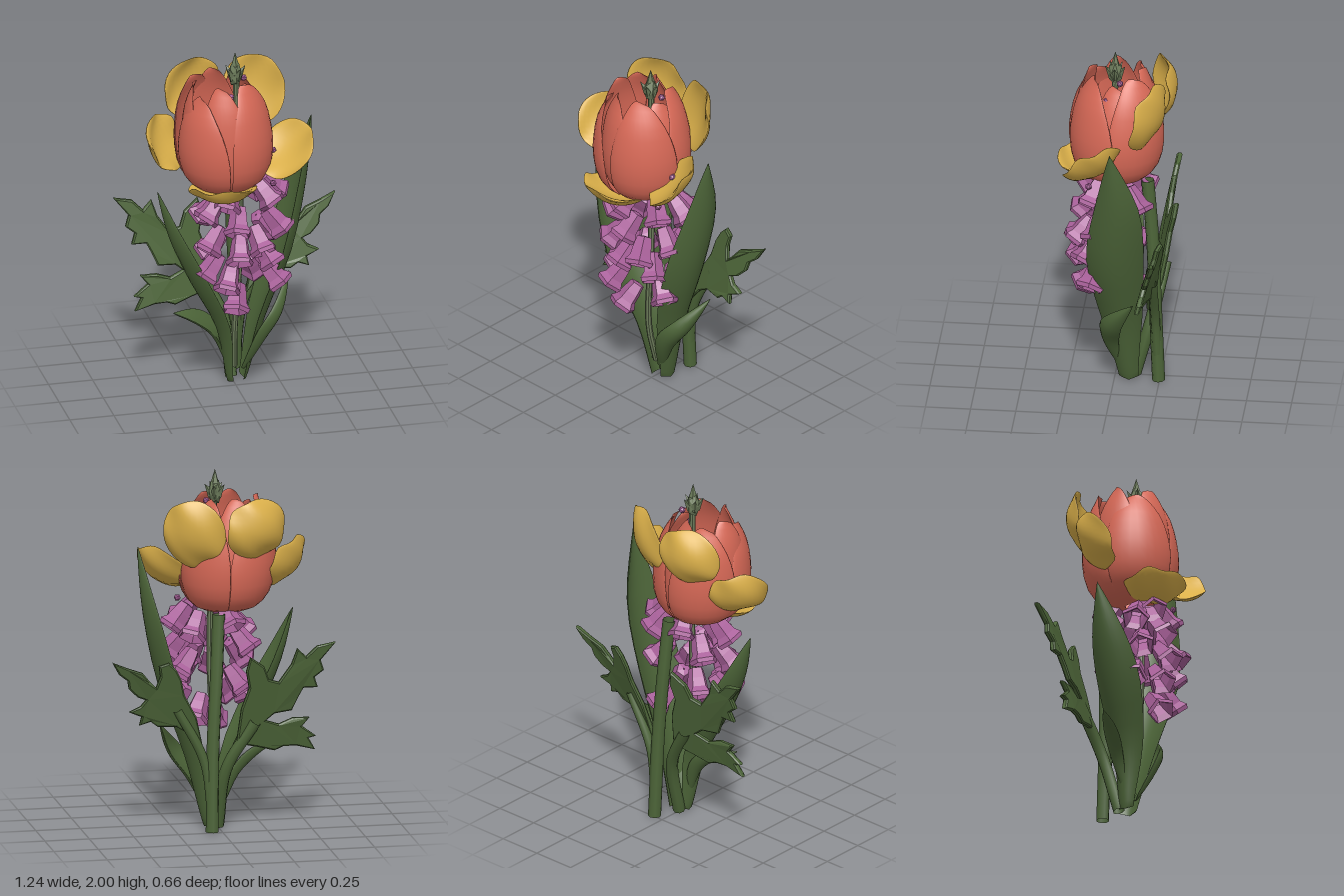
import * as THREE from 'three';

const mat = (name, color, extra = {}) => Object.assign(new THREE.MeshStandardMaterial({ color, ...extra }), { name });
const V = (x, y, z) => new THREE.Vector3(x, y, z);

export function createModel() {
  const model = new THREE.Group();
  model.name = 'bouquet';
  const two = { side: THREE.DoubleSide };
  const red = mat('tulip red', 0xd66856, two);
  const yellow = mat('petal yellow', 0xdbb04a, two);
  const purple = mat('bell purple', 0xab629c, { ...two, flatShading: true });
  const green = mat('leaf green', 0x4c6438, two);
  const sage = mat('bud green', 0x6c7b5a, { ...two, flatShading: true });

  const add = (name, geometry, material, parent = model) => {
    const mesh = new THREE.Mesh(geometry, material);
    mesh.name = name;
    parent.add(mesh);
    return mesh;
  };

  // Closed thin shell: u across (-1..1), t along (0..1), d through the thickness (-1..1)
  const shell = (rule) => {
    const geo = new THREE.SphereGeometry(1, 28, 18);
    const p = geo.attributes.position;
    for (let i = 0; i < p.count; i++) {
      const y = p.getY(i), ring = Math.sqrt(Math.max(0, 1 - y * y));
      const u = ring < 1e-4 ? 0 : p.getX(i) / ring;
      const q = rule(u, (y + 1) / 2, p.getZ(i));
      p.setXYZ(i, q.x, q.y, q.z);
    }
    geo.computeVertexNormals();
    return geo;
  };

  // Tulip: overlapping petals wrapped round a rounded profile, leaning a little at the top
  const profile = new THREE.SplineCurve([
    [0.04, 0], [0.16, 0.03], [0.232, 0.12], [0.256, 0.25], [0.25, 0.38], [0.222, 0.52], [0.16, 0.65],
  ].map(([x, y]) => new THREE.Vector2(x, y)));
  const tulip = new THREE.Group();
  tulip.name = 'tulip';
  tulip.position.set(-0.06, 1.2, 0);
  model.add(tulip);
  const tulipPetal = (name, deg, half, scale, height) => {
    const a0 = THREE.MathUtils.degToRad(deg);
    add(name, shell((u, t, d) => {
      const q = profile.getPoint(t);
      const k = Math.max(0, (t - 0.4) / 0.6);
      const a = a0 + u * half * Math.sqrt(Math.max(0, 1 - k ** 2.2));
      const r = q.x * scale + d * 0.014 + 0.018 * u * t;
      return V(Math.sin(a) * r - 0.035 * t * t, q.y * height, Math.cos(a) * r);
    }), red, tulip);
  };
  [[45, 1], [-52, 0.91], [128, 1], [-140, 0.98]].forEach(([a, h]) => tulipPetal('outerTulipPetal', a, 0.82, 1, h));
  [[-12, 1], [90, 0.93], [180, 1.01], [-92, 1]].forEach(([a, h]) => tulipPetal('innerTulipPetal', a, 0.75, 0.86, h));

  // Stamens inside the tulip
  for (let i = 0; i < 6; i++) {
    const a = i * Math.PI / 3;
    const s = add('stamen', new THREE.CapsuleGeometry(0.018, 0.2, 3, 6), yellow, tulip);
    s.position.set(-0.07 + 0.04 * Math.cos(a), 0.26, -0.02 + 0.04 * Math.sin(a));
    s.rotation.set(0.15 * Math.sin(a), 0, -0.15 * Math.cos(a));
  }

  // Cupped yellow petals: centre, outward direction, half width, half length, cup depth
  [
    ['backRightPetal', [-0.21, 1.7, -0.3], [-0.3, -0.12, -1], 0.18, 0.17, 0.08],
    ['backLeftPetal', [0.17, 1.67, -0.24], [0.4, -0.2, -0.85], 0.175, 0.2, 0.065],
    ['rightPetal', [-0.42, 1.45, -0.08], [-0.62, -0.48, -0.55], 0.165, 0.165, 0.065],
    ['leftPetal', [0.29, 1.4, 0.08], [0.5, -0.62, -0.4], 0.165, 0.18, 0.065],
    ['frontPetal', [-0.12, 1.205, 0.19], [-0.05, -0.97, 0.2], 0.19, 0.15, 0.075],
  ].forEach(([name, c, n, w, l, cup]) => {
    const geo = shell((u, t, d) => {
      const y = 2 * t - 1;
      const x = u * Math.pow(Math.max(0, 1 - Math.abs(y) ** 2.4), 0.5);
      const wave = 0.012 * Math.sin(5 * x + 4 * y) * (x * x + y * y);
      return V(x * w, y * l, d * 0.02 - cup * (x * x + y * y) * 0.85 + wave);
    });
    const petal = add(name, geo, yellow);
    petal.position.set(...c);
    petal.lookAt(V(...c).add(V(...n)));
  });

  // Five-sided bell with a curled lip, mouth towards -y
  const bellGeo = new THREE.LatheGeometry([
    [0.004, 0.085], [0.042, 0.078], [0.054, 0.02], [0.06, -0.03], [0.083, -0.062], [0.074, -0.085], [0.05, -0.05], [0.04, 0.03],
  ].map(([x, y]) => new THREE.Vector2(x, y)), 5);
  const bell = (x, y, z, size = 1) => {
    const b = add('bell', bellGeo, purple);
    b.position.set(x, y, z);
    b.scale.setScalar(size);
    const out = V(x - 0.02, 0, z - 0.02).normalize().multiplyScalar(-0.62).setY(0.75);
    b.quaternion.setFromUnitVectors(V(0, 1, 0), out.normalize());
    b.rotateY(x * 40 + y * 17);
  };
  [
    [-0.15, 1.11, 0.08], [-0.02, 1.05, 0.15], [0.14, 1.19, 0.1], [0.2, 1.01, 0.08], [-0.15, 0.94, 0.11],
    [-0.02, 0.89, 0.18], [0.09, 0.94, 0.17], [0.14, 0.84, 0.13], [-0.15, 0.76, 0.07], [-0.08, 0.73, 0.18],
    [-0.03, 0.59, 0.14], [0.18, 0.7, 0.1], [0.2, 1.18, -0.02], [0.13, 1.15, -0.12], [-0.05, 1.2, -0.13],
    [-0.14, 1.05, -0.08], [-0.11, 0.83, -0.08], [0.11, 0.68, -0.1], [0.17, 0.93, -0.06], [-0.06, 1.19, 0.12],
    [-0.05, 1.58, 0.05, 0.7], [-0.03, 1.68, -0.05, 0.6], [0.04, 1.74, 0.03, 0.4],
  ].forEach((b) => bell(...b));

  // Small buds peeping between the petals
  [[0.2, 1.41, 0.04], [0.18, 1.25, 0.13], [0.05, 1.83, -0.03]].forEach((c) =>
    add('smallBud', new THREE.IcosahedronGeometry(0.02, 0), purple).position.set(...c));

  // Stems and leaf stalks
  const tube = (name, pts, r, material) => add(name, new THREE.TubeGeometry(
    new THREE.CatmullRomCurve3(pts.map((p) => V(...p))), 20, r, 8), material);
  tube('bellStem', [[0, 0.1, -0.04], [-0.01, 0.35, 0.01], [0.02, 0.9, 0.02], [0, 1.86, 0]], 0.018, sage);
  tube('backStem', [[0.06, 0.005, -0.245], [0.05, 0.5, -0.225], [0.03, 0.85, -0.21], [0.01, 1.22, -0.18]], 0.036, green);
  tube('leftLeafStalk', [[0.06, 0.1, -0.24], [0.1, 0.4, -0.23], [0.25, 0.7, -0.23]], 0.026, green);
  tube('rightLeafStalk', [[0, 0.01, -0.11], [-0.03, 0.35, -0.2], [-0.18, 0.62, -0.26]], 0.034, green);

  // Leafy bud at the very top
  const bud = new THREE.Group();
  bud.name = 'topBud';
  bud.position.set(-0.005, 0, 0);
  model.add(bud);
  const core = add('budCore', new THREE.IcosahedronGeometry(0.042, 0), sage, bud);
  core.scale.y = 1.8;
  core.position.y = 1.87;
  add('budTip', new THREE.ConeGeometry(0.036, 0.12, 5), sage, bud).position.y = 1.94;
  for (let i = 0; i < 5; i++) {
    const pivot = new THREE.Group();
    pivot.rotation.y = i * Math.PI * 0.4;
    bud.add(pivot);
    const scale = add('budScale', new THREE.ConeGeometry(0.028, 0.08, 4), sage, pivot);
    scale.position.set(0.036, 1.885, 0);
    scale.rotation.z = -0.6;
  }

  // Long cupped blades following a curve
  const blade = (name, pts, side, W, cup) => {
    const curve = new THREE.CatmullRomCurve3(pts.map((p) => V(...p)));
    const s = V(...side).normalize();
    add(name, shell((u, t, d) => {
      const w = W * (0.4 * (1 - t) + Math.sin(Math.PI * t ** 1.2));
      const out = s.clone().cross(curve.getTangent(t)).normalize();
      return curve.getPoint(t).addScaledVector(s, u * w).addScaledVector(out, d * 0.018 - cup * w * u * u);
    }), green);
  };
  blade('tallLeftLeaf', [[0.07, 0, -0.08], [0.16, 0.4, -0.045], [0.3, 0.8, -0.02], [0.39, 1.2, -0.04], [0.43, 1.58, -0.01]],
    [0, 0, -1], 0.134, 0.45);
  blade('tallRightLeaf', [[-0.03, 0, -0.06], [-0.09, 0.35, -0.03], [-0.24, 0.65, -0.01], [-0.36, 0.92, -0.01], [-0.44, 1.2, -0.01]],
    [0, 0, 1], 0.11, 0.5);
  blade('smallLeftLeaf', [[0.05, 0.08, -0.03], [0.14, 0.28, 0.03], [0.24, 0.42, 0.01], [0.33, 0.6, -0.13]],
    [0.5, -0.3, -0.8], 0.06, 0.4);
  blade('smallRightLeaf', [[-0.03, 0.1, -0.06], [-0.11, 0.3, -0.08], [-0.22, 0.4, -0.06], [-0.35, 0.46, -0.02]],
    [-0.3, -0.4, 0.9], 0.05, 0.4);

  // Lobed leaves: jagged outline, leaning back towards the top and the middle
  const lobed = (name, outline, lean) => {
    const shape = new THREE.Shape(outline.map(([x, y]) => new THREE.Vector2(x, y)));
    const geo = new THREE.ExtrudeGeometry(shape, {
      depth: 0.016, bevelSize: 0.008, bevelOffset: -0.006, bevelThickness: 0.008, bevelSegments: 1,
    });
    const p = geo.attributes.position;
    for (let i = 0; i < p.count; i++) p.setZ(i, p.getZ(i) + lean(p.getX(i), p.getY(i)));
    geo.computeVertexNormals();
    add(name, geo, green);
  };
  lobed('lobedLeftLeaf', [
    [0.1, 0.46], [0.18, 0.56], [0.25, 0.6], [0.35, 0.6], [0.39, 0.63], [0.45, 0.61], [0.44, 0.66], [0.51, 0.69],
    [0.45, 0.72], [0.42, 0.76], [0.47, 0.78], [0.52, 0.83], [0.53, 0.88], [0.58, 0.92], [0.62, 0.99], [0.53, 0.95],
    [0.45, 0.92], [0.41, 0.87], [0.37, 0.83], [0.35, 0.9], [0.36, 0.96], [0.31, 0.98], [0.27, 0.94], [0.24, 0.88],
    [0.22, 0.79], [0.15, 0.66],
  ], (x, y) => -0.19 - 0.26 * (y - 0.69) - 0.25 * Math.max(0, 0.4 - x));
  lobed('lobedRightLeaf', [
    [-0.08, 0.5], [-0.2, 0.47], [-0.3, 0.44], [-0.35, 0.46], [-0.42, 0.46], [-0.53, 0.43], [-0.49, 0.5], [-0.53, 0.51],
    [-0.45, 0.57], [-0.49, 0.62], [-0.4, 0.62], [-0.32, 0.59], [-0.24, 0.62], [-0.29, 0.66], [-0.39, 0.67],
    [-0.42, 0.74], [-0.45, 0.8], [-0.53, 0.8], [-0.51, 0.86], [-0.56, 0.9], [-0.54, 0.96], [-0.62, 1.06],
    [-0.52, 1.04], [-0.46, 0.98], [-0.41, 1.03], [-0.38, 0.94], [-0.31, 0.84], [-0.25, 0.86], [-0.22, 0.94],
    [-0.14, 1.0], [-0.12, 0.92], [-0.14, 0.82], [-0.1, 0.7],
  ], (x, y) => -0.18 - 0.2 * (y - 0.45) - 0.16 * Math.max(0, 0.4 + x));

  return model;
}
